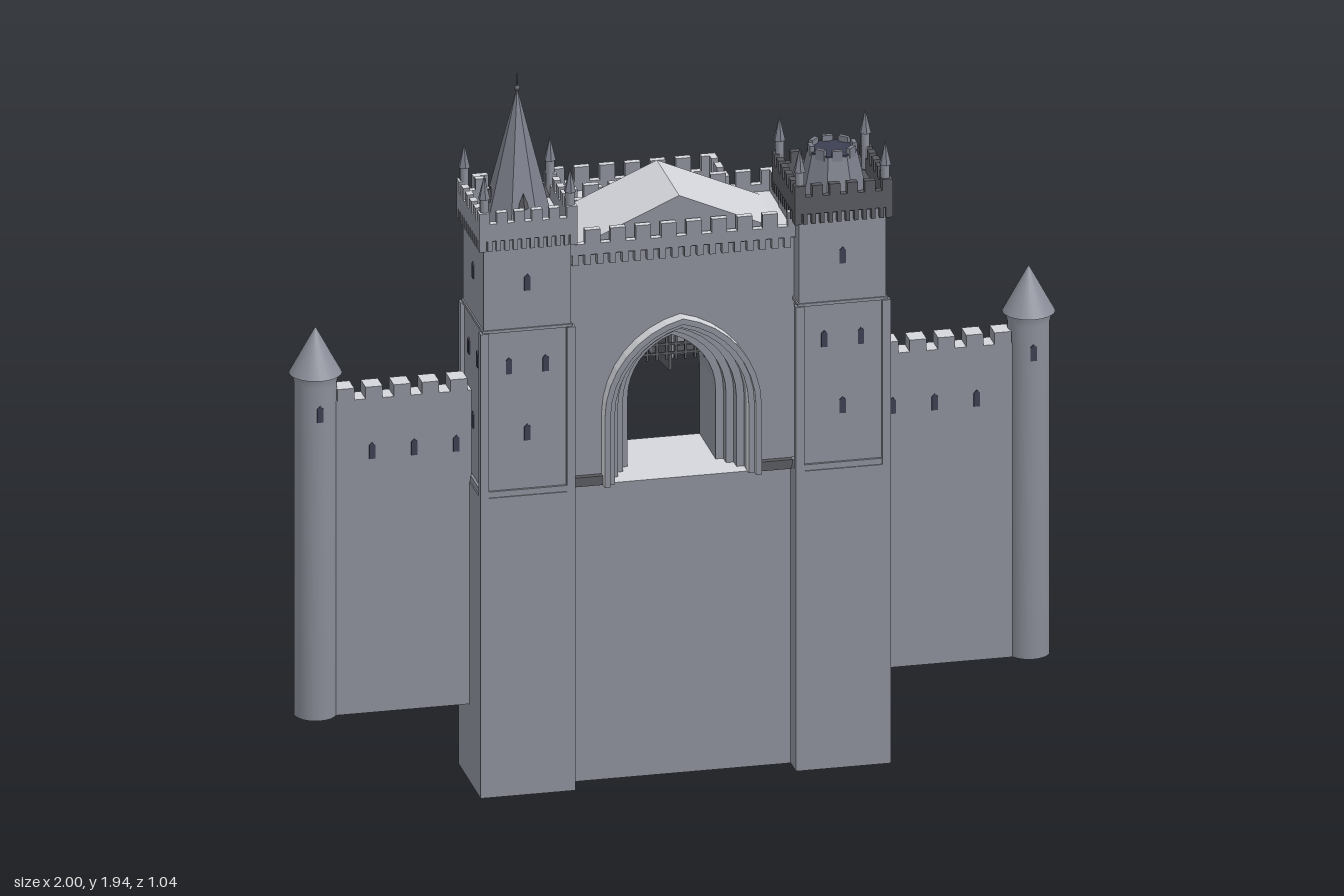
import * as THREE from 'three';

const mat = (name, color) => {
  const m = new THREE.MeshStandardMaterial({ color });
  m.name = name;
  return m;
};

export function createModel() {
  const stone = mat('grey stone', 0x8b8e99);
  const pale = mat('pale top stone', 0xd4d6db);
  const slate = mat('spire slate', 0x7b7e8a);
  const dark = mat('dark stone', 0x58595f);
  const glass = mat('window dark', 0x3c3e52);
  const root = new THREE.Group();
  root.name = 'castleGate';

  const group = (name, parent = root) => {
    const g = new THREE.Group();
    g.name = name;
    parent.add(g);
    return g;
  };
  const add = (p, name, geo, m, x = 0, y = 0, z = 0) => {
    const mesh = new THREE.Mesh(geo, m);
    mesh.name = name;
    mesh.position.set(x, y, z);
    p.add(mesh);
    return mesh;
  };
  // material list for a box with its own colour on the top face
  const topped = (m, top) => [m, m, top, m, m, m];
  const capped = topped(stone, pale);
  // box from its lower and upper limits
  const box = (p, name, m, x0, x1, y0, y1, z0, z1) =>
    add(p, name, new THREE.BoxGeometry(x1 - x0, y1 - y0, z1 - z0), m, (x0 + x1) / 2, (y0 + y1) / 2, (z0 + z1) / 2);
  const facet = (geo) => {
    const g = geo.toNonIndexed();
    g.computeVertexNormals();
    return g;
  };
  // evenly spaced blocks along a line, beginning and ending with a block
  const row = (n, a, b, fill, fn) => {
    const step = (b - a) / (n - 1 + fill);
    for (let i = 0; i < n; i++) fn(a + i * step, a + i * step + step * fill);
  };
  // corbels, parapet walls and merlons around a rectangle
  const parapet = (p, m, x0, x1, z0, z1, y, wallH, merlonH, nx, nz, t = 0.018) => {
    const cy = y - 0.028;
    for (const [a, b] of [[z0, z0 + t], [z1 - t, z1]]) {
      box(p, 'parapetWall', m, x0, x1, y, y + wallH, a, b);
      row(nx, x0, x1, 0.6, (u, v) => box(p, 'merlon', m, u, v, y + wallH, y + wallH + merlonH, a, b));
      row(nx * 2, x0, x1, 0.5, (u, v) => box(p, 'corbel', m, u, v, cy, y, a, b));
    }
    for (const [a, b] of [[x0, x0 + t], [x1 - t, x1]]) {
      box(p, 'parapetWall', m, a, b, y, y + wallH, z0 + t, z1 - t);
      row(nz, z0, z1, 0.6, (u, v) => box(p, 'merlon', m, a, b, y + wallH, y + wallH + merlonH, u, v));
      row(nz * 2, z0, z1, 0.5, (u, v) => box(p, 'corbel', m, a, b, cy, y, u, v));
    }
    box(p, 'roofDeck', m, x0 + t / 2, x1 - t / 2, y - 0.005, y + 0.01, z0 + t / 2, z1 - t / 2);
  };

  // outline points of a pointed arch, from left foot over the apex to right foot
  const C = 0.056;
  const archPoints = (hw, foot, spring) => {
    const r = hw + C, end = Math.acos(C / r), right = [];
    for (let i = 0; i <= 8; i++) {
      const a = (end * i) / 8;
      right.push(new THREE.Vector2(r * Math.cos(a) - C, spring + r * Math.sin(a)));
    }
    const left = right.slice(0, -1).map((v) => new THREE.Vector2(-v.x, v.y));
    return [new THREE.Vector2(-hw, foot), ...left, ...right.reverse(), new THREE.Vector2(hw, foot)];
  };
  const extrude = (p, name, m, pts, z0, z1) =>
    add(p, name, new THREE.ExtrudeGeometry(new THREE.Shape(pts), { depth: z1 - z0, bevelEnabled: false }), m, 0, 0, z0);
  const archWall = (p, name, hw, foot, spring, x, top, z0, z1) =>
    extrude(p, name, stone, [new THREE.Vector2(-x, foot), new THREE.Vector2(-x, top), new THREE.Vector2(x, top),
      new THREE.Vector2(x, foot), ...archPoints(hw, foot, spring).reverse()], z0, z1);
  // moulding with grey faces and pale edges
  const archRing = (p, inner, outer, foot, spring, z0, z1) =>
    extrude(p, 'archMoulding', [stone, pale], [...archPoints(outer, foot, spring), ...archPoints(inner, foot, spring).reverse()], z0, z1);
  // small lancet plate on a front-facing wall
  const lancet = (p, m, x, y, z, w = 0.016, h = 0.045) => {
    const s = new THREE.Shape([[-w / 2, -h / 2], [w / 2, -h / 2], [w / 2, h / 2 - w / 2], [0, h / 2], [-w / 2, h / 2 - w / 2]]
      .map(([a, b]) => new THREE.Vector2(a, b)));
    add(p, 'window', new THREE.ExtrudeGeometry(s, { depth: 0.004, bevelEnabled: false }), m, x, y, z);
  };

  // main gatehouse
  const gate = group('mainGatehouse');
  box(gate, 'gateBase', capped, -0.3, 0.3, 0, 0.81, 0.18, 0.46);
  archWall(gate, 'gateWallBack', 0.115, 0.81, 1, 0.31, 1.445, 0.18, 0.33);
  [0.115, 0.135, 0.155, 0.175].forEach((hw, i) =>
    archWall(gate, 'gateWallOrder', hw, 0.81, 1, 0.31, 1.445, 0.33 + i * 0.031, 0.361 + i * 0.031));
  archRing(gate, 0.175, 0.19, 0.81, 1, 0.45, 0.475);
  archRing(gate, 0.19, 0.205, 0.81, 1, 0.45, 0.492);
  archRing(gate, 0.14, 0.17, 0.81, 1, 0.155, 0.182);
  parapet(gate, capped, -0.318, 0.318, 0.155, 0.472, 1.445, 0.03, 0.038, 10, 5);
  extrude(gate, 'gableRoof', [stone, pale], [[-0.27, 1.456], [0.27, 1.456], [0, 1.575]].map(([a, b]) => new THREE.Vector2(a, b)), 0.195, 0.445);
  for (const s of [-1, 1]) {
    box(gate, 'plinthBand', dark, s * 0.25 - 0.045, s * 0.25 + 0.045, 0.81, 0.835, 0.45, 0.47);
  }
  // raised portcullis
  const portcullis = group('portcullis', gate);
  for (let i = -4; i <= 4; i++) {
    box(portcullis, 'upright', dark, i * 0.025 - 0.003, i * 0.025 + 0.003, 1.07, 1.15 - Math.abs(i) * 0.012, 0.3, 0.306);
  }
  for (const y of [1.085, 1.11]) box(portcullis, 'crossbar', dark, -0.112, 0.112, y, y + 0.006, 0.3, 0.306);

  // square towers beside the gate
  for (const s of [-1, 1]) {
    const t = group(s < 0 ? 'rightSquareTower' : 'leftSquareTower');
    t.position.set(s * 0.412, 0, 0.395);
    box(t, 'towerBase', stone, -0.124, 0.124, 0, 0.82, -0.124, 0.124);
    box(t, 'plinthBand', stone, -0.121, 0.121, 0.82, 0.836, -0.121, 0.121);
    box(t, 'towerShaft', stone, -0.114, 0.114, 0.82, 1.52, -0.114, 0.114);
    box(t, 'stringCourse', stone, -0.118, 0.118, 1.268, 1.276, -0.118, 0.118);
    for (const a of [-1, 1]) for (const b of [-1, 1]) {
      box(t, 'cornerButtress', stone, a * 0.113 - 0.011, a * 0.113 + 0.011, 0.82, 1.27, b * 0.113 - 0.011, b * 0.113 + 0.011);
      add(t, 'pinnacleShaft', new THREE.CylinderGeometry(0.012, 0.012, 0.1, 6), stone, a * 0.112, 1.59, b * 0.112);
      add(t, 'pinnacleCap', facet(new THREE.ConeGeometry(0.016, 0.065, 6)), slate, a * 0.112, 1.67, b * 0.112);
    }
    parapet(t, s > 0 ? dark : capped, -0.128, 0.128, -0.128, 0.128, 1.525, 0.047, 0.03, 6, 6);
    // windows on the front and outer side
    for (const turn of [0, s * Math.PI / 2]) {
      const face = group('windowFace', t);
      face.rotation.y = turn;
      lancet(face, glass, 0, 1.4, 0.113);
      for (const x of [-0.048, 0.048]) lancet(face, glass, x, 1.175, 0.113);
      lancet(face, glass, 0, 0.99, 0.113);
    }
    // framed niche on the back
    const back = group('backNiche', t);
    back.rotation.y = Math.PI;
    lancet(back, stone, 0, 1.19, 0.113, 0.045, 0.11);
    lancet(back, glass, 0, 1.185, 0.115, 0.018, 0.07);
    const rot = Math.PI / 8;
    if (s < 0) {
      // tall spire with a finial
      add(t, 'spire', facet(new THREE.ConeGeometry(0.092, 0.355, 8)), slate, 0, 1.7125, 0).rotation.y = rot;
      add(t, 'finialBall', new THREE.SphereGeometry(0.008, 8, 6), dark, 0, 1.888, 0);
      add(t, 'finialSpike', new THREE.ConeGeometry(0.004, 0.06, 6), dark, 0, 1.908, 0);
      for (let i = 0; i < 4; i++) {
        const d = group('dormer', t);
        d.rotation.y = i * Math.PI / 2;
        add(d, 'dormerCap', facet(new THREE.ConeGeometry(0.016, 0.04, 4)), dark, 0, 1.605, 0.07);
      }
    } else {
      // cut-off octagonal turret
      add(t, 'turret', facet(new THREE.CylinderGeometry(0.064, 0.09, 0.11, 8)), slate, 0, 1.59, 0).rotation.y = rot;
      add(t, 'turretTop', new THREE.CylinderGeometry(0.062, 0.062, 0.004, 8), glass, 0, 1.646, 0).rotation.y = rot;
      for (let i = 0; i < 8; i++) {
        const d = group('turretMerlon', t);
        d.rotation.y = i * Math.PI / 4;
        box(d, 'merlon', slate, -0.014, 0.014, 1.635, 1.663, 0.05, 0.062);
      }
    }
  }

  // outer curtain walls and round towers
  for (const s of [-1, 1]) {
    const c = group(s < 0 ? 'rightCurtain' : 'leftCurtain');
    const sx = (name, a, b, ...rest) => box(c, name, capped, Math.min(s * a, s * b), Math.max(s * a, s * b), ...rest);
    sx('curtainWall', 0.53, 0.9, 0.21, 1.07, 0.338, 0.392);
    row(5, 0.541, 0.881, 0.6, (a, b) => sx('merlon', a, b, 1.07, 1.102, 0.338, 0.392));
    for (const x of [0.57, 0.68, 0.79]) lancet(c, glass, s * x, 0.928, 0.391);
    const profile = [[0, 0.21], [0.055, 0.21], [0.055, 1.12], [0.061, 1.145]].map(([a, b]) => new THREE.Vector2(a, b));
    add(c, 'roundTower', new THREE.LatheGeometry(profile, 24), stone, s * 0.932, 0, 0.365);
    add(c, 'roundTowerRoof', new THREE.ConeGeometry(0.068, 0.125, 24), stone, s * 0.932, 1.2075, 0.365);
    lancet(c, glass, s * 0.932, 1.05, 0.418);
  }

  // rear court walls
  for (const s of [-1, 1]) {
    const w = group(s < 0 ? 'rightCourtWall' : 'leftCourtWall');
    const sx = (name, m, a, b, ...rest) => box(w, name, m, Math.min(s * a, s * b), Math.max(s * a, s * b), ...rest);
    sx('courtWall', capped, 0.267, 0.313, 0.81, 1.032, -0.37, 0.19);
    row(9, -0.35, 0.155, 0.6, (a, b) => sx('merlon', capped, 0.267, 0.313, 1.032, 1.06, a, b));
    for (const z of [-0.29, -0.155, -0.022, 0.11]) {
      sx('buttress', topped(stone, dark), 0.31, 0.33, 0.81, 0.98, z - 0.018, z + 0.018);
    }
  }

  // rear gatehouse
  const rear = group('rearGatehouse');
  archWall(rear, 'rearGateWall', 0.12, 0.81, 0.96, 0.306, 1.215, -0.472, -0.36);
  archWall(rear, 'rearGateOrder', 0.14, 0.81, 0.96, 0.306, 1.215, -0.505, -0.472);
  archRing(rear, 0.14, 0.165, 0.81, 0.96, -0.52, -0.503);
  archRing(rear, 0.14, 0.17, 0.81, 0.97, -0.362, -0.338);
  parapet(rear, capped, -0.318, 0.318, -0.517, -0.352, 1.215, 0.035, 0.04, 10, 3);
  for (const s of [-1, 1]) box(rear, 'plinthBand', dark, s * 0.24 - 0.071, s * 0.24 + 0.071, 0.81, 0.836, -0.51, -0.357);

  // fallen and open door leaves in the court
  add(rear, 'fallenDoor', new THREE.BoxGeometry(0.115, 0.008, 0.185), topped(dark, pale), -0.072, 0.826, -0.228).rotation.y = 0.17;
  add(rear, 'openDoor', new THREE.BoxGeometry(0.008, 0.2, 0.11), dark, 0.13, 0.92, -0.29).rotation.y = 0.12;
  return root;
}
